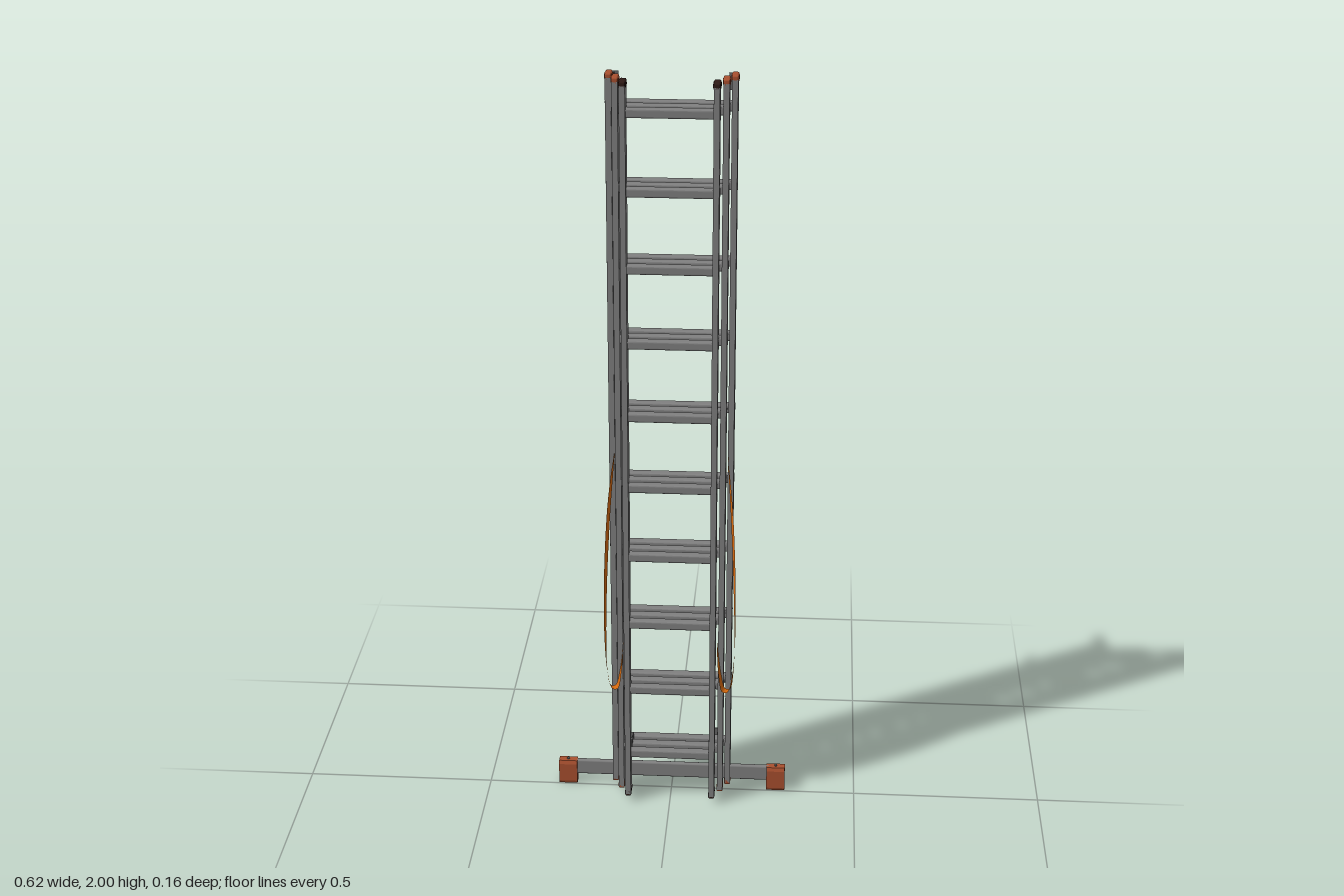
import * as THREE from 'three';
import { RoundedBoxGeometry } from 'three/addons/geometries/RoundedBoxGeometry.js';

const mat = (name, color, side = THREE.FrontSide) => {
  const m = new THREE.MeshStandardMaterial({ color, side });
  m.name = name;
  return m;
};

export function createModel() {
  const root = new THREE.Group();
  root.name = 'extensionLadder';
  const aluminium = mat('aluminium', 0x808080);
  const steel = mat('steel', 0x666666);
  const rust = mat('rustPlastic', 0xa9502f);
  const dark = mat('darkPlastic', 0x2e1a15);
  const orange = mat('orangeWebbing', 0xd4690f, THREE.DoubleSide);

  const add = (parent, name, geo, material, x = 0, y = 0, z = 0) => {
    const m = new THREE.Mesh(geo, material);
    m.name = name;
    m.position.set(x, y, z);
    parent.add(m);
    return m;
  };

  // Rounded rectangle outline
  const roundRect = (target, w, h, r, cx = 0, cy = 0) => {
    const a = w / 2, b = h / 2;
    target.moveTo(cx - a + r, cy - b);
    target.lineTo(cx + a - r, cy - b).quadraticCurveTo(cx + a, cy - b, cx + a, cy - b + r);
    target.lineTo(cx + a, cy + b - r).quadraticCurveTo(cx + a, cy + b, cx + a - r, cy + b);
    target.lineTo(cx - a + r, cy + b).quadraticCurveTo(cx - a, cy + b, cx - a, cy + b - r);
    target.lineTo(cx - a, cy - b + r).quadraticCurveTo(cx - a, cy - b, cx - a + r, cy - b);
    return target;
  };

  // Extrude a (-z, y) outline along x, centred on x = 0
  const alongX = (shape, length) => {
    const g = new THREE.ExtrudeGeometry(shape, { depth: length, bevelEnabled: false, curveSegments: 4 });
    return g.translate(0, 0, -length / 2).rotateY(Math.PI / 2);
  };
  const plate = (points, length) =>
    alongX(new THREE.Shape(points.map(([z, y]) => new THREE.Vector2(-z, y))), length);

  const rungY = Array.from({ length: 10 }, (_, i) => 0.145 + i * 0.1973);
  const railBottom = 0.022, railTop = 1.99, railDepth = 0.043, railWidth = 0.015;

  // Rail with a hole for every hollow rung
  const railShape = new THREE.Shape();
  roundRect(railShape, railDepth, railTop - railBottom, 0.001, 0, (railTop + railBottom) / 2);
  rungY.forEach((y) => railShape.holes.push(roundRect(new THREE.Path(), 0.0215, 0.0205, 0.003, 0, y)));
  const railGeo = alongX(railShape, railWidth);

  // End plug with rounded head
  const plugGeo = new RoundedBoxGeometry(0.0165, 0.018, 0.043, 2, 0.004);
  const ribGeo = new RoundedBoxGeometry(0.0195, 0.014, 0.026, 2, 0.003);

  // Three nested sections, back to front
  const sections = [
    { name: 'backSection', x: 0.153, z: -0.0155, plug: rust },
    { name: 'middleSection', x: 0.134, z: 0.0215, plug: rust },
    { name: 'frontSection', x: 0.113, z: 0.0595, plug: dark },
  ];
  for (const s of sections) {
    const group = new THREE.Group();
    group.name = s.name;
    group.position.z = s.z;
    root.add(group);

    const rungShape = roundRect(new THREE.Shape(), 0.024, 0.023, 0.005);
    rungShape.holes.push(roundRect(new THREE.Path(), 0.02, 0.019, 0.003));
    const rungGeo = alongX(rungShape, s.x * 2 + railWidth + 0.002);
    rungY.forEach((y) => add(group, 'rung', rungGeo, aluminium, 0, y));

    for (const side of [-1, 1]) {
      add(group, 'rail', railGeo, aluminium, side * s.x);
      add(group, 'topPlug', plugGeo, s.plug, side * s.x, 1.991);
      add(group, 'topPlugRib', ribGeo, s.plug, side * s.x, 1.991);
      add(group, 'bottomPlug', plugGeo, s.plug, side * s.x, 0.026);
    }
  }

  // Stabiliser bar and its feet
  add(root, 'stabiliserBar', new RoundedBoxGeometry(0.54, 0.044, 0.014, 2, 0.005), aluminium, 0, 0.048, -0.0155);
  const footGeo = plate([
    [-0.027, 0], [-0.003, 0], [0, 0.008], [0, 0.06], [-0.004, 0.07], [-0.026, 0.07], [-0.03, 0.06], [-0.03, 0.008],
  ], 0.05);
  for (const side of [-1, 1]) {
    add(root, 'foot', footGeo, rust, side * 0.285);
    add(root, 'footScrew', new THREE.CylinderGeometry(0.004, 0.004, 0.004, 10), steel, side * 0.285, 0.071, -0.0155);
  }

  // Guide brackets and hooks
  const topBracket = plate([
    [-0.03, 1.985], [-0.03, 1.955], [-0.045, 1.965], [-0.056, 1.962], [-0.058, 1.942], [-0.083, 1.942], [-0.083, 1.985],
  ], 0.004);
  const latchHook = plate([
    [-0.033, 1.675], [-0.033, 1.652], [-0.05, 1.648], [-0.056, 1.634], [-0.064, 1.64], [-0.066, 1.65],
    [-0.076, 1.658], [-0.077, 1.684], [-0.071, 1.682], [-0.069, 1.664], [-0.055, 1.658], [-0.042, 1.664],
  ], 0.004);
  const rungHook = plate([
    [0.002, 0.13], [0.006, 0.172], [-0.038, 0.172], [-0.043, 0.166], [-0.043, 0.138],
    [-0.038, 0.138], [-0.034, 0.159], [-0.001, 0.159],
  ], 0.003);
  for (const side of [-1, 1]) {
    add(root, 'topBracket', topBracket, steel, side * 0.147);
    add(root, 'topBracketLip', new THREE.BoxGeometry(0.012, 0.043, 0.002), steel, side * 0.141, 1.9635, -0.083);
    add(root, 'latchHook', latchHook, steel, side * 0.148);
    add(root, 'middleHook', rungHook, steel, side * 0.1255);
    add(root, 'middleHookLip', new THREE.BoxGeometry(0.01, 0.03, 0.002), steel, side * 0.1215, 0.152, -0.043);
    add(root, 'frontHook', rungHook, steel, side * 0.1045, 0, 0.041);
  }

  // Webbing strap hanging in a loop beside each rail
  const strapGeo = (side) => {
    const path = new THREE.CatmullRomCurve3([
      [0.146, 1.01, 0.017], [0.152, 0.95, 0.036], [0.16, 0.85, 0.05], [0.168, 0.68, 0.062], [0.171, 0.5, 0.062],
      [0.167, 0.4, 0.062], [0.156, 0.345, 0.06], [0.143, 0.345, 0.058], [0.132, 0.39, 0.055], [0.124, 0.48, 0.053],
    ].map(([x, y, z]) => new THREE.Vector3(x * side, y, z)));
    const n = 60, pos = [], index = [];
    for (let i = 0; i <= n; i++) {
      const p = path.getPoint(i / n);
      const w = 0.011, twist = 0.35 * Math.sin((i / n) * Math.PI * 2);
      const dx = side * w * Math.sin(twist), dz = w * Math.cos(twist);
      pos.push(p.x - dx, p.y, p.z - dz, p.x + dx, p.y, p.z + dz);
      if (i < n) index.push(2 * i, 2 * i + 1, 2 * i + 2, 2 * i + 1, 2 * i + 3, 2 * i + 2);
    }
    const g = new THREE.BufferGeometry();
    g.setAttribute('position', new THREE.Float32BufferAttribute(pos, 3));
    g.setIndex(index);
    g.computeVertexNormals();
    return g;
  };
  add(root, 'leftStrap', strapGeo(1), orange);
  add(root, 'rightStrap', strapGeo(-1), orange);

  return root;
}
